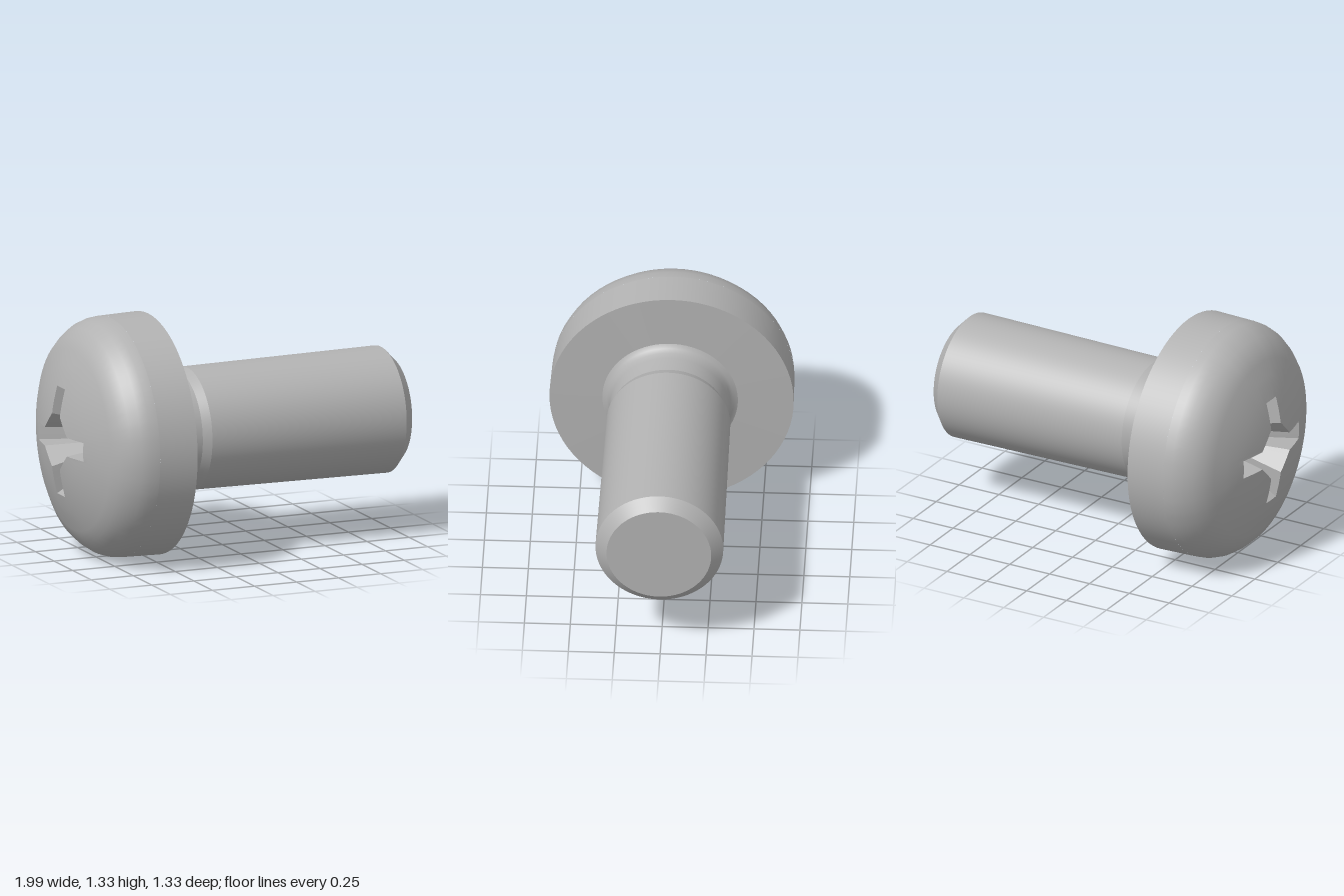
import * as THREE from 'three';

const metal = new THREE.MeshStandardMaterial({ color: 0xb2b2b2 });
metal.name = 'grey metal';

// Revolves [radius, x] pairs about the x axis; each section keeps its own hard edges
function turned(name, points) {
  const g = new THREE.LatheGeometry(points.map(([r, x]) => new THREE.Vector2(r, x)), 80);
  g.rotateZ(-Math.PI / 2);
  const mesh = new THREE.Mesh(g, metal);
  mesh.name = name;
  return mesh;
}

// Cross outline as [angle, radius] pairs: arm length L, half width w, chamfered inner corners x + y = s
function crossOutline(L, w, s) {
  const a = Math.atan2(w, L), b = Math.atan2(w, s - w), q = Math.PI / 4;
  const octant = [];
  const add = (from, to, n, radius) => {
    for (let i = 0; i < n; i++) {
      const t = from + (to - from) * i / n;
      octant.push([t, radius(t)]);
    }
  };
  add(0, a, 2, t => L / Math.cos(t));
  add(a, b, 3, t => w / Math.sin(t));
  add(b, q, 5, t => s / (Math.cos(t) + Math.sin(t)));
  const middle = [q, s / Math.SQRT2];
  const mirrored = octant.slice(1).reverse().map(([t, r]) => [2 * q - t, r]);
  const quarter = [...octant, middle, ...mirrored];
  const ring = [];
  for (let k = 0; k < 4; k++) quarter.forEach(([t, r]) => ring.push([t + k * 2 * q, r]));
  return ring;
}

// Joins closed rings of [angle, radius, x] into a skin facing -x
function loft(name, rings, flat) {
  const n = rings[0].length, pos = [], idx = [];
  rings.forEach(ring => ring.forEach(([t, r, x]) => pos.push(x, r * Math.cos(t), r * Math.sin(t))));
  for (let i = 0; i < rings.length - 1; i++) {
    for (let j = 0; j < n; j++) {
      const k = (j + 1) % n;
      const a = i * n + j, b = i * n + k, c = a + n, d = b + n;
      idx.push(a, b, c, b, d, c);
    }
  }
  let g = new THREE.BufferGeometry();
  g.setAttribute('position', new THREE.Float32BufferAttribute(pos, 3));
  g.setIndex(idx);
  if (flat) g = g.toNonIndexed();
  g.computeVertexNormals();
  const mesh = new THREE.Mesh(g, metal);
  mesh.name = name;
  return mesh;
}

export function createModel() {
  const model = new THREE.Group();
  model.name = 'screw';

  // Domed head with a cross-shaped opening
  const head = new THREE.Group();
  head.name = 'head';
  head.position.y = 0.667;
  const domeX = r => -1 + 0.45 * r * r;
  const mouth = crossOutline(0.3, 0.052, 0.2);
  const domeRings = [0, 0.33, 0.67, 1].map(f => mouth.map(([t, r]) => {
    const radius = r + (0.42 - r) * f;
    return [t, radius, domeX(radius)];
  }));
  const shoulder = [[0.5, domeX(0.5)], [0.56, -0.857], [0.605, -0.81], [0.638, -0.76], [0.655, -0.71], [0.66, -0.66]];
  shoulder.forEach(([r, x]) => domeRings.push(mouth.map(([t]) => [t, r, x])));
  head.add(loft('dome', domeRings, false));

  // Tapered cross recess
  const floor = crossOutline(0.13, 0.035, 0.1);
  head.add(loft('crossRecess', [
    floor.map(([t]) => [t, 0, -0.62]),
    floor.map(([t, r]) => [t, r, -0.67]),
    domeRings[0],
  ], true));

  head.add(turned('headRim', [[0.66, -0.66], [0.665, -0.44]]));
  head.add(turned('headUnderside', [[0.665, -0.44], [0.3, -0.43]]));
  model.add(head);

  // Shank, sitting very slightly off the head's axis
  const shank = new THREE.Group();
  shank.name = 'shank';
  shank.position.set(0, 0.673, 0.007);
  shank.add(
    turned('fillet', [[0.375, -0.435], [0.345, -0.42], [0.332, -0.395], [0.325, -0.36], [0.32, -0.26]]),
    turned('neckStep', [[0.32, -0.26], [0.337, -0.21]]),
    turned('shaft', [[0.337, -0.21], [0.348, 0.94]]),
    turned('tipChamfer', [[0.348, 0.94], [0.285, 1]]),
    turned('tipFace', [[0.285, 1], [0, 1]]),
  );
  model.add(shank);
  return model;
}
